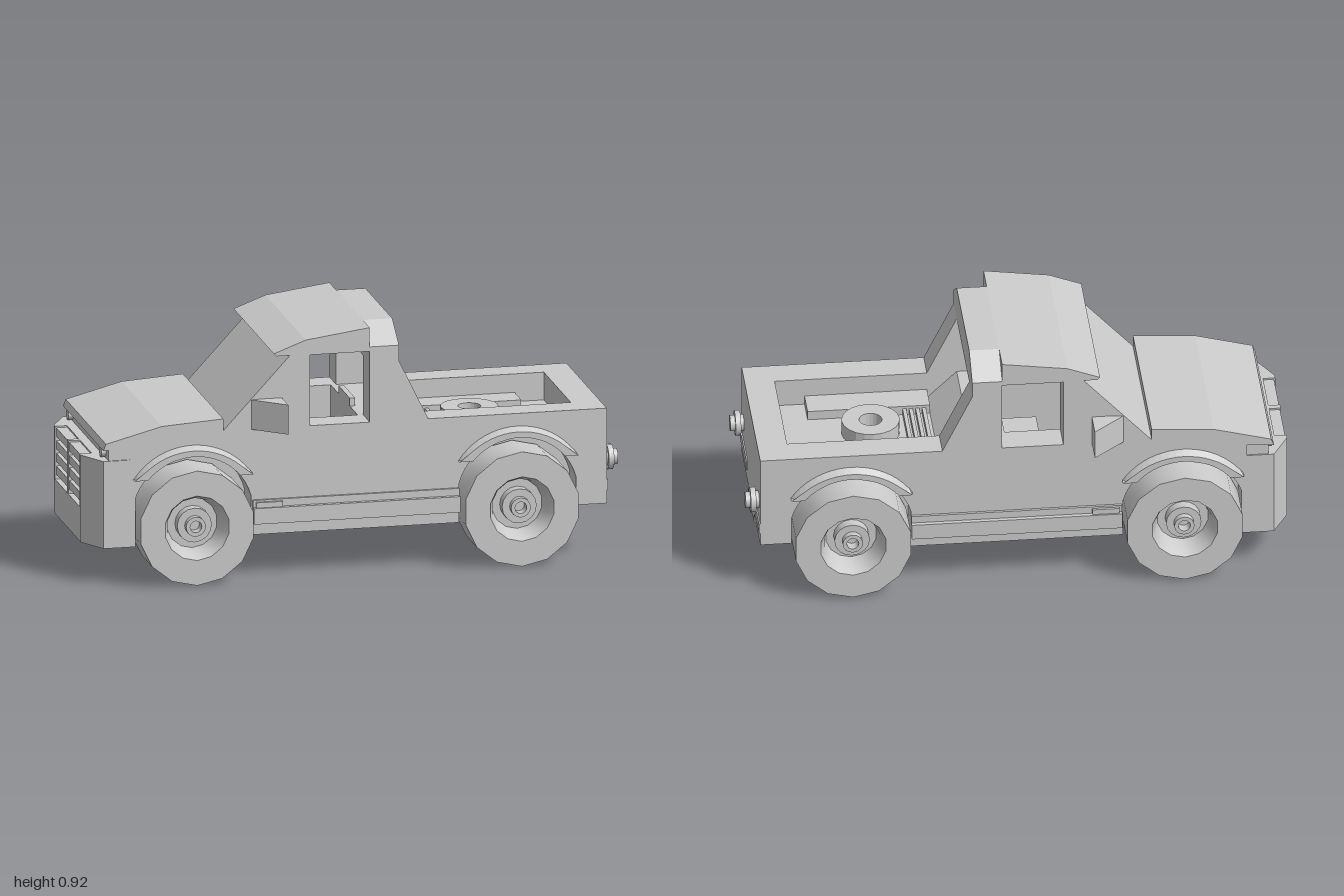
import * as THREE from 'three';
import { toCreasedNormals } from 'three/addons/utils/BufferGeometryUtils.js';

const material = new THREE.MeshStandardMaterial({ color: 0xcccccc, side: THREE.DoubleSide });
const wheelX = [-0.605, 0.615];

export function createModel() {
  const root = new THREE.Group();
  root.name = 'pickupTruck';

  const add = (name, geometry, parent = root) => {
    const mesh = new THREE.Mesh(geometry, material);
    mesh.name = name;
    parent.add(mesh);
    return mesh;
  };
  // Box given by its limits
  const box = (name, x0, x1, y0, y1, z0, z1, parent = root) => add(name,
    new THREE.BoxGeometry(x1 - x0, y1 - y0, z1 - z0)
      .translate((x0 + x1) / 2, (y0 + y1) / 2, (z0 + z1) / 2), parent);
  // Box repeated on both sides
  const pair = (name, x0, x1, y0, y1, z0, z1) => {
    box(name + 'Left', x0, x1, y0, y1, z0, z1);
    box(name + 'Right', x0, x1, y0, y1, -z1, -z0);
  };
  const outline = (points) => new THREE.Shape(points.map(([a, b]) => new THREE.Vector2(a, b)));
  const extrude = (shape, depth) =>
    new THREE.ExtrudeGeometry(shape, { depth, bevelEnabled: false, curveSegments: 10 });
  const sideways = (name, shape, z0, z1) => add(name, extrude(shape, z1 - z0).translate(0, 0, z0));
  const upward = (name, shape, y0, y1) =>
    add(name, extrude(shape, y1 - y0).rotateX(-Math.PI / 2).translate(0, y0, 0));
  const forward = (name, shape, x0, x1) =>
    add(name, extrude(shape, x1 - x0).rotateY(Math.PI / 2).translate(x0, 0, 0));

  // Body sides with wheel openings and a door window
  const archY = 0.247, archR = 0.228, openAngle = Math.acos(0.22 / archR);
  const body = new THREE.Shape();
  body.moveTo(0.95, 0.2);
  body.lineTo(0.95, 0.56);
  body.lineTo(0.28, 0.56);
  body.lineTo(0.17, 0.785);
  body.lineTo(0.17, 0.83);
  body.lineTo(-0.24, 0.83);
  body.lineTo(-0.49, 0.56);
  body.lineTo(-0.84, 0.52);
  body.lineTo(-0.84, 0.3);
  body.absarc(wheelX[0], archY, archR, Math.PI - openAngle, openAngle, true);
  body.lineTo(-0.385, 0.16);
  body.lineTo(0.395, 0.16);
  body.absarc(wheelX[1], archY, archR, Math.PI - openAngle, openAngle, true);
  body.lineTo(0.835, 0.2);
  body.closePath();
  body.holes.push(outline([[-0.165, 0.56], [0.06, 0.56], [0.06, 0.828], [-0.165, 0.828]]));
  sideways('bodySideLeft', body, 0.22, 0.33);
  sideways('bodySideRight', body, -0.33, -0.22);

  // Hood, windshield and roof
  sideways('hood', outline([[-0.94, 0.51], [-0.93, 0.535], [-0.72, 0.59], [-0.49, 0.605],
    [-0.49, 0.55], [-0.84, 0.515]]), -0.33, 0.33);
  sideways('windshield', outline([[-0.49, 0.56], [-0.24, 0.83], [-0.2, 0.83], [-0.45, 0.56]]), -0.22, 0.22);
  sideways('roof', outline([[-0.3, 0.84], [-0.18, 0.885], [0.06, 0.918], [0.06, 0.83], [-0.29, 0.83]]), -0.33, 0.33);
  forward('roofRear', outline([[-0.33, 0.785], [0.33, 0.785], [0.33, 0.845], [0.22, 0.918],
    [-0.22, 0.918], [-0.33, 0.845]]), 0.06, 0.17);

  // Chassis and cabin interior
  box('engineBlock', -0.92, -0.38, 0.2, 0.53, -0.22, 0.22);
  box('dashboard', -0.45, -0.34, 0.5, 0.56, -0.22, 0.22);
  box('floor', -0.4, 0.84, 0.2, 0.25, -0.22, 0.22);
  box('keel', -0.4, 0.84, 0.16, 0.2, -0.11, 0.11);
  box('seat', -0.12, 0.06, 0.25, 0.36, -0.2, 0.2);
  box('headrest', 0.04, 0.06, 0.56, 0.59, -0.09, 0.09);
  sideways('cabinBulkhead', outline([[0.04, 0.25], [0.04, 0.56], [0.17, 0.56], [0.285, 0.45], [0.285, 0.25]]), -0.22, 0.22);
  const steering = new THREE.Group();
  steering.name = 'steeringWheel';
  steering.position.set(-0.27, 0.56, 0);
  steering.rotation.z = 0.35;
  add('rim', new THREE.TorusGeometry(0.076, 0.012, 6, 14).rotateY(Math.PI / 2), steering);
  box('spoke', -0.008, 0.008, -0.012, 0.012, -0.075, 0.075, steering);
  box('column', -0.09, 0, -0.015, 0.015, -0.015, 0.015, steering);
  root.add(steering);

  // Cargo bed with inner wells, ribs and ring
  box('bedFloor', 0.28, 0.84, 0.25, 0.455, -0.22, 0.22);
  pair('bedWell', 0.28, 0.73, 0.455, 0.49, 0.11, 0.22);
  for (let i = 0; i < 4; i++) box('bedRib', 0.295 + i * 0.024, 0.309 + i * 0.024, 0.455, 0.48, -0.11, 0.11);
  const ring = new THREE.Shape().absarc(0.51, 0, 0.107, 0, Math.PI * 2);
  ring.holes.push(new THREE.Path().absarc(0.51, 0, 0.042, 0, Math.PI * 2, true));
  upward('bedRing', ring, 0.455, 0.51);

  // Tailgate and rear bumper
  box('tailgate', 0.84, 0.95, 0.2, 0.56, -0.22, 0.22);
  box('rearBumperCentre', 0.84, 0.95, 0.16, 0.3, -0.11, 0.11);
  pair('rearBumperStrip', 0.94, 0.955, 0.25, 0.29, 0.115, 0.33);

  // Nose: bumper with a slot, corner blocks and grille
  const nosePlan = outline([[-0.82, -0.33], [-0.94, -0.33], [-1, -0.22], [-1, 0.22], [-0.94, 0.33], [-0.82, 0.33]]);
  nosePlan.holes.push(outline([[-0.93, -0.17], [-0.89, -0.17], [-0.89, 0.17], [-0.93, 0.17]]));
  upward('frontBumper', nosePlan, 0.14, 0.27);
  box('grilleBack', -0.955, -0.82, 0.25, 0.47, -0.22, 0.22);
  for (const s of [1, -1]) {
    upward('noseCorner', outline([[-0.82, s * 0.33], [-0.94, s * 0.33], [-1, s * 0.22],
      [-1, s * 0.2], [-0.82, s * 0.2]]), 0.27, 0.47);
  }
  for (let i = 0; i < 4; i++) box('grilleBar', -0.995, -0.95, 0.288 + i * 0.048, 0.32 + i * 0.048, -0.2, 0.2);
  box('grillePost', -0.998, -0.95, 0.27, 0.47, -0.012, 0.012);

  // Items repeated on each side
  for (const s of [1, -1]) {
    const z = (a, b) => (s > 0 ? [a, b] : [-b, -a]);
    for (const cx of wheelX) {
      // Arch flare, chamfered towards its outer face and ending level at the sides
      const flare = new THREE.Shape();
      const outer = Math.asin(0.148 / 0.268), inner = Math.asin(0.148 / archR);
      flare.absarc(cx, archY, 0.268, outer, Math.PI - outer, false);
      flare.absarc(cx, archY, archR, Math.PI - inner, inner, true);
      flare.closePath();
      const mesh = sideways('wheelArch', flare, ...z(0.325, 0.357));
      const p = mesh.geometry.attributes.position;
      for (let i = 0; i < p.count; i++) {
        const r = Math.hypot(p.getX(i) - cx, p.getY(i) - archY);
        if (r > 0.25 && p.getY(i) > 0.4 && Math.abs(p.getZ(i)) > 0.34) p.setY(i, p.getY(i) - 0.018);
      }
      mesh.geometry.computeVertexNormals();
    }
    box('runningBoard', -0.38, 0.395, 0.205, 0.265, ...z(0.33, 0.357));
    box('sillStrip', -0.38, 0.395, 0.265, 0.292, ...z(0.33, 0.34));
    box('sillClip', -0.37, -0.27, 0.262, 0.285, ...z(0.33, 0.35));
    upward('sideMirror', outline([[-0.385, s * 0.335], [-0.27, s * 0.32], [-0.27, s * 0.437]]), 0.56, 0.672);

    // Headlight studs under the hood lip
    box('headlightMount', -0.92, -0.82, 0.47, 0.515, ...z(0.2, 0.325));
    add('headlight', new THREE.CylinderGeometry(0.02, 0.02, 0.1, 10).rotateZ(Math.PI / 2)
      .translate(-0.888, 0.493, s * 0.27));

    // Tail light stud with a collar
    const lamp = [[0, 0], [0.032, 0], [0.032, 0.012], [0.047, 0.012], [0.047, 0.032], [0.03, 0.032],
      [0.03, 0.05], [0, 0.05]].map(([r, h]) => new THREE.Vector2(r, h));
    add('tailLight', toCreasedNormals(new THREE.LatheGeometry(lamp, 16), 0.8)
      .rotateZ(-Math.PI / 2).translate(0.95, 0.36, s * 0.27));
  }

  // Wheels: square-edged tyre with a dished rim and a stepped hub
  const tyreProfile = [[0, 0], [0.217, 0], [0.217, 0.17], [0.122, 0.17], [0.105, 0.13], [0.095, 0.085], [0, 0.085]]
    .map(([r, h]) => new THREE.Vector2(r, h));
  const hubProfile = [[0.065, 0.085], [0.065, 0.125], [0.037, 0.125], [0.037, 0.15], [0.022, 0.15],
    [0.022, 0.11], [0, 0.11]].map(([r, h]) => new THREE.Vector2(r, h));
  const tyre = toCreasedNormals(new THREE.LatheGeometry(tyreProfile, 14), 0.6).rotateX(Math.PI / 2);
  const hub = toCreasedNormals(new THREE.LatheGeometry(hubProfile, 16), 0.6).rotateX(Math.PI / 2);
  for (const cx of wheelX) for (const s of [1, -1]) {
    const wheel = new THREE.Group();
    wheel.name = (cx < 0 ? 'front' : 'rear') + 'Wheel';
    add('tyre', tyre, wheel);
    add('hub', hub, wheel);
    wheel.position.set(cx, 0.217, s * 0.235);
    if (s < 0) wheel.rotation.y = Math.PI;
    root.add(wheel);
  }

  return root;
}
